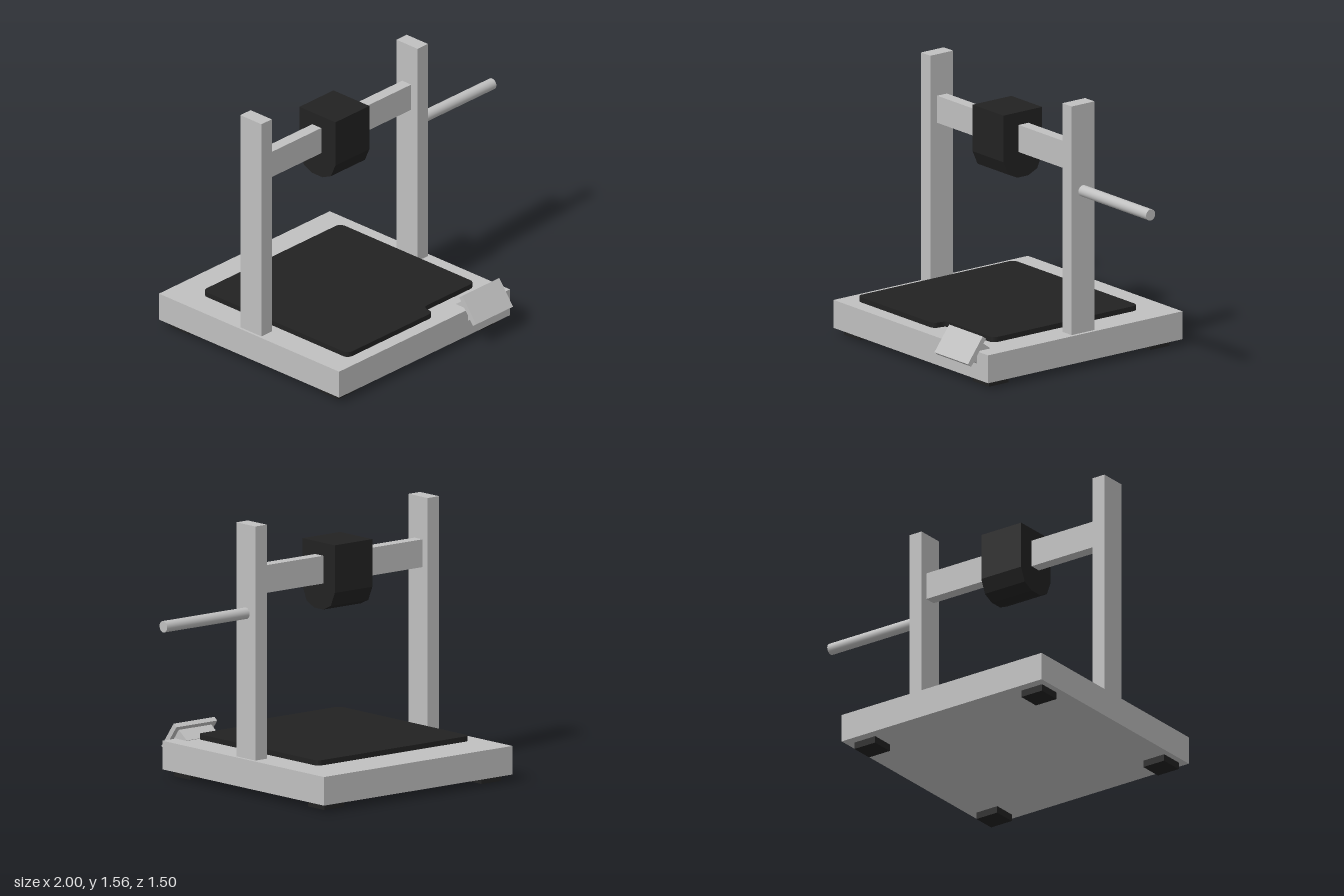
import * as THREE from 'three';

export function createModel() {
  const model = new THREE.Group();
  model.name = 'benchPrinter';
  const grey = new THREE.MeshStandardMaterial({ name: 'light grey metal', color: 0xc0c0c0 });
  const black = new THREE.MeshStandardMaterial({ name: 'matt black', color: 0x222222 });

  function add(name, geometry, material) {
    const mesh = new THREE.Mesh(geometry, material);
    mesh.name = name;
    model.add(mesh);
    return mesh;
  }
  // Box given by its limits on each axis
  function box(name, material, x0, x1, y0, y1, z0, z1) {
    const mesh = add(name, new THREE.BoxGeometry(x1 - x0, y1 - y0, z1 - z0), material);
    mesh.position.set((x0 + x1) / 2, (y0 + y1) / 2, (z0 + z1) / 2);
    return mesh;
  }
  // Polygon with rounded corners
  function roundedShape(points, r) {
    const pts = points.map(([x, y]) => new THREE.Vector2(x, y));
    const shape = new THREE.Shape();
    pts.forEach((p, i) => {
      const toward = (q) => p.clone().add(q.clone().sub(p).setLength(r));
      const a = toward(pts[(i + pts.length - 1) % pts.length]);
      const b = toward(pts[(i + 1) % pts.length]);
      if (i === 0) shape.moveTo(a.x, a.y);
      else shape.lineTo(a.x, a.y);
      shape.quadraticCurveTo(p.x, p.y, b.x, b.y);
    });
    shape.closePath();
    return shape;
  }

  // Base slab and its four feet
  box('base', grey, -1, 0.405, 0.04, 0.205, -0.745, 0.66);
  for (const x of [-0.89, 0.283]) {
    for (const z of [-0.62, 0.545]) {
      box('foot', black, x - 0.073, x + 0.073, 0, 0.04, z - 0.07, z + 0.07);
    }
  }

  // Gantry: two posts and a crossbar
  for (const x of [-0.985, 0.3]) {
    box('post', grey, x, x + 0.085, 0.205, 1.555, -0.125, 0.04);
  }
  box('crossbar', grey, -0.9, 0.3, 1.15, 1.31, -0.08, -0.01);

  // Print head, tapered at the bottom; profile as [-z, y]
  const headProfile = [
    [-0.1, 1.385], [-0.1, 1.11], [-0.065, 1.03], [0, 1.0],
    [0.08, 1.0], [0.145, 1.03], [0.18, 1.11], [0.18, 1.385],
  ].map(([a, b]) => new THREE.Vector2(a, b));
  const head = new THREE.ExtrudeGeometry(new THREE.Shape(headProfile), { depth: 0.28, bevelEnabled: false });
  head.rotateY(Math.PI / 2);
  add('printHead', head, black).position.x = -0.44;

  // Side rod
  const rod = add('spoolRod', new THREE.CylinderGeometry(0.033, 0.033, 0.615, 32), grey);
  rod.rotation.z = Math.PI / 2;
  rod.position.set(0.6925, 1.043, -0.042);

  // Rounded bed with a notch at its front left corner, on a thin carrier; outline as [x, z]
  const bedShape = roundedShape([
    [-0.865, -0.535], [0.27, -0.535], [0.27, 0.515],
    [-0.16, 0.515], [-0.16, 0.6], [-0.865, 0.6],
  ], 0.042);
  const bed = new THREE.ExtrudeGeometry(bedShape, { depth: 0.03, bevelEnabled: false, curveSegments: 8 });
  bed.rotateX(Math.PI / 2);
  add('bed', bed, black).position.y = 0.25;
  box('bedCarrier', grey, -0.81, 0.215, 0.205, 0.22, -0.2, 0.12);

  // Tilted control panel and its bracket
  const panel = add('controlPanel', new THREE.BoxGeometry(0.305, 0.18, 0.03), grey);
  panel.position.set(0.183, 0.216, 0.685);
  const bracket = add('panelBracket', new THREE.BoxGeometry(0.243, 0.115, 0.087), grey);
  bracket.position.set(0.183, 0.187, 0.635);
  panel.rotation.x = bracket.rotation.x = -0.636;

  return model;
}
